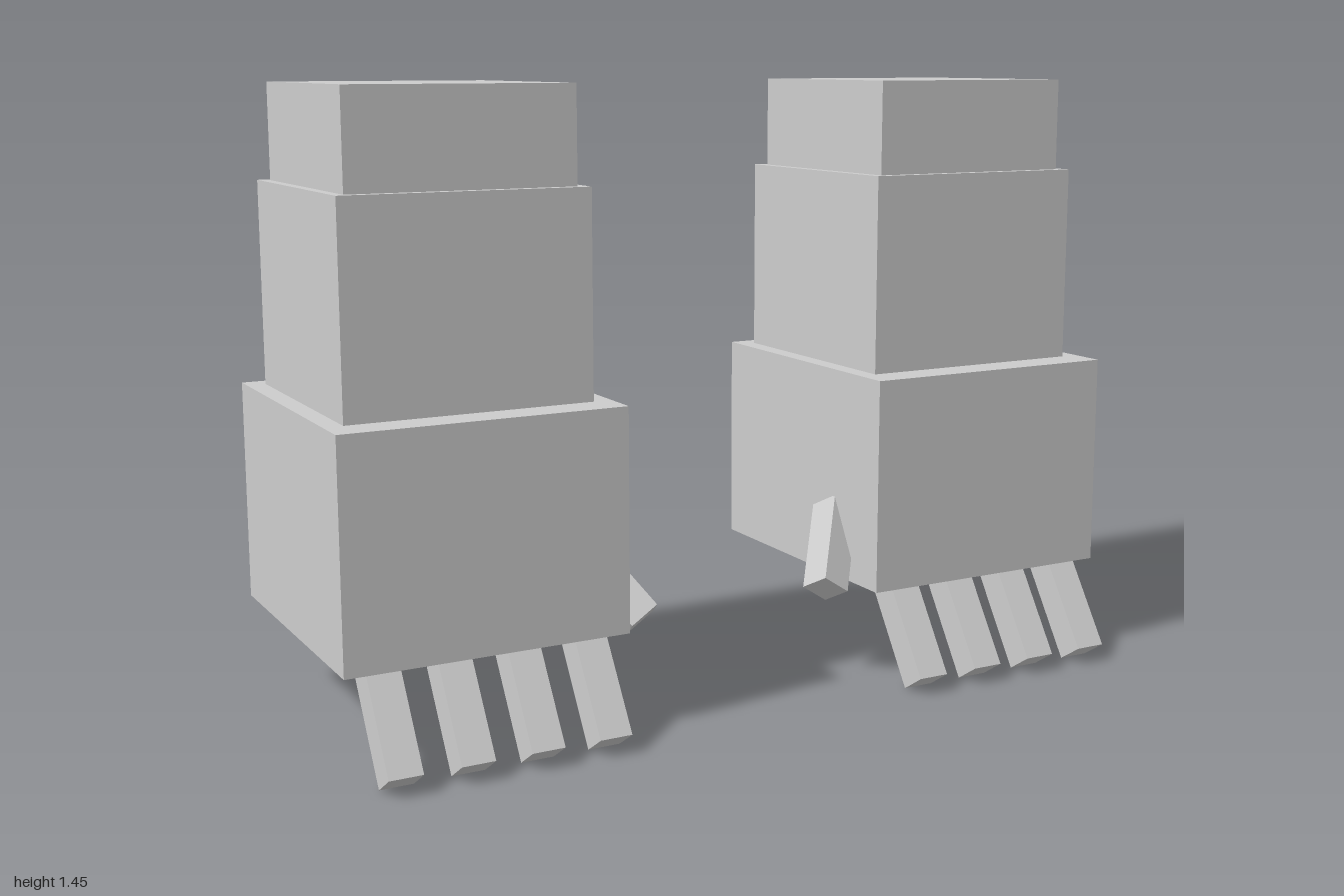
import * as THREE from 'three';

const grey = new THREE.MeshStandardMaterial({ color: 0xcccccc });
grey.name = 'plain grey';

const TILT = 0.58; // lean of every digit
const THICK = 0.077;

// Box given by its centre in x and z, and its bottom and top
function block(name, x, z, w, d, y0, y1) {
  const mesh = new THREE.Mesh(new THREE.BoxGeometry(w, y1 - y0, d), grey);
  mesh.name = name;
  mesh.position.set(x, (y0 + y1) / 2, z);
  return mesh;
}

// Square digit whose tip centre sits at the given point
function digit(name, length, x, y, z, roll) {
  const geometry = new THREE.BoxGeometry(THICK, length, THICK);
  geometry.translate(0, length / 2, 0);
  const mesh = new THREE.Mesh(geometry, grey);
  mesh.name = name;
  mesh.position.set(x, y, z);
  mesh.rotation.set(-TILT, 0, roll, 'ZYX');
  return mesh;
}

function createArm(name, side) {
  const arm = new THREE.Group();
  arm.name = name;
  const x = side * 0.666;

  // Stepped blocks, from hand up to sleeve
  arm.add(block('hand', x, -0.061, 0.666, 0.708, 0.235, 0.755));
  arm.add(block('forearm', x, -0.082, 0.578, 0.579, 0.755, 1.233));
  arm.add(block('upperArm', x, -0.081, 0.531, 0.532, 1.233, 1.457));

  // Four fingers leaning forward out of the lower front edge
  for (let i = 0; i < 4; i++) {
    arm.add(digit('finger' + (i + 1), 0.3, x - 0.004 + (i - 1.5) * 0.161, 0.025, 0.383, 0));
  }

  // Thumb on the inner side
  arm.add(digit('thumb', 0.238, side * 0.25 - 0.003, 0.233, 0.199, -side * TILT));
  return arm;
}

export function createModel() {
  const model = new THREE.Group();
  model.name = 'pairOfArms';
  model.add(createArm('leftArm', 1), createArm('rightArm', -1));
  return model;
}
